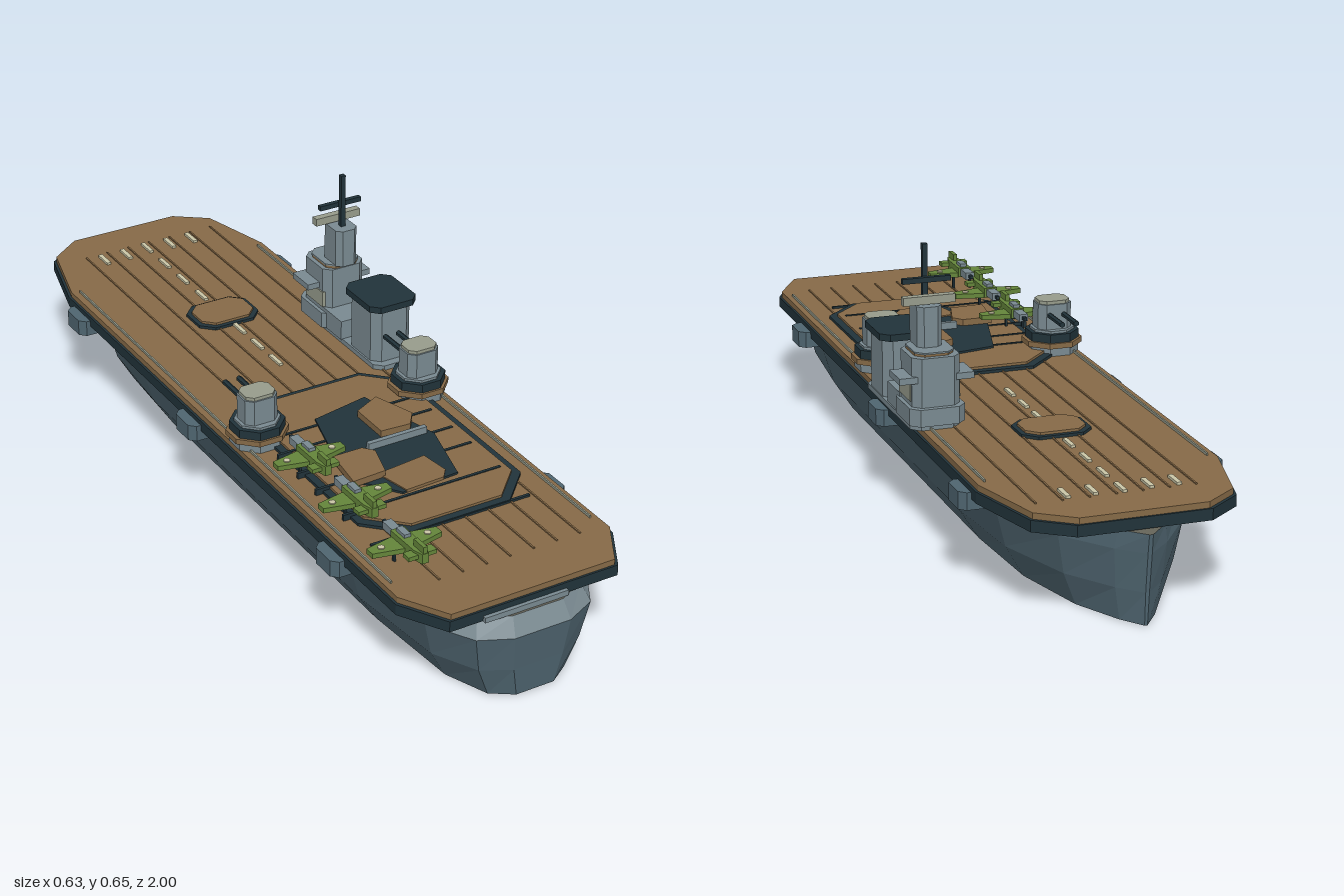
import * as THREE from 'three';

const mat = (name, color, side = THREE.FrontSide) => {
  const m = new THREE.MeshStandardMaterial({ color, flatShading: true, side });
  m.name = name;
  return m;
};
const hullGrey = mat('hull grey', 0x4f6570, THREE.DoubleSide);
const keelBrown = mat('keel brown', 0x66655a, THREE.DoubleSide);
const steel = mat('light steel', 0x7a8a91, THREE.DoubleSide);
const dark = mat('dark steel', 0x21333a);
const wood = mat('deck wood', 0x866a47);
const pale = mat('pale marking', 0xcbc7a8);
const stone = mat('warm grey', 0x979c8c);
const green = mat('aircraft green', 0x64853a);

const CX = -0.01; // centreline of the hull

function add(parent, name, geo, material, x = 0, y = 0, z = 0) {
  const m = new THREE.Mesh(geo, material);
  m.name = name;
  m.position.set(x, y, z);
  parent.add(m);
  return m;
}
// Box given by its centre in x and z, and its bottom and top in y
const box = (p, name, material, x, z, w, d, y0, y1) =>
  add(p, name, new THREE.BoxGeometry(w, y1 - y0, d), material, x, (y0 + y1) / 2, z);

// Plan outline of [x, z] points raised from y0 to y1
function slab(p, name, material, pts, y0, y1) {
  const shape = new THREE.Shape(pts.map(([x, z]) => new THREE.Vector2(x, -z)));
  const g = new THREE.ExtrudeGeometry(shape, { depth: y1 - y0, bevelEnabled: false });
  g.rotateX(-Math.PI / 2);
  return add(p, name, g, material, 0, y0, 0);
}
// Rectangle with cut corners
function octagon(x, z, w, d, c) {
  const a = w / 2, b = d / 2;
  return [[a, b - c], [a - c, b], [c - a, b], [-a, b - c], [-a, c - b], [c - a, -b], [a - c, -b], [a, c - b]]
    .map(([u, v]) => [x + u, z + v]);
}
const mirrored = half => [...half, ...half.slice().reverse().map(([x, z]) => [-x, z])]
  .map(([x, z]) => [x + CX, z]);

// Hollow hull lofted from stern to bow, open below, with a ceiling under the deck
function buildHull(g) {
  // half width, height, stern rake, bow rake
  const levels = [[0.16, 0, 0.98, 0.98], [0.208, 0.075, 0.988, 0.985], [0.235, 0.165, 1, 0.995], [0.212, 0.208, 0.978, 1]];
  const stations = [[1, 0.3], [0.965, 0.62], [0.86, 0.88], [0.6, 1], [0.1, 1], [-0.4, 1],
    [-0.65, 0.9], [-0.84, 0.6], [-0.95, 0.25], [-1, 0.02]];
  const rings = stations.map(([z, f]) => {
    const side = levels.map(([w, y, s, b]) => [w * f, y, z * (z > 0 ? s : b)]);
    return [...side, ...side.slice().reverse().map(([x, y, zz]) => [-x, y, zz])];
  });
  const sides = [], sternBand = [], ceiling = [];
  for (let i = 0; i < rings.length - 1; i++) {
    for (let j = 0; j < 7; j++) {
      const a = rings[i][j], b = rings[i][j + 1], c = rings[i + 1][j + 1], d = rings[i + 1][j];
      const band = i < 2 && (j === 2 || j === 4);
      (j === 3 ? ceiling : band ? sternBand : sides).push(a, d, c, a, c, b);
    }
  }
  const s = rings[0], e = rings[rings.length - 1];
  for (let j = 0; j < 3; j++) {
    (j === 2 ? sternBand : sides).push(s[j], s[j + 1], s[6 - j], s[j], s[6 - j], s[7 - j]);
    sides.push(e[j], e[6 - j], e[j + 1], e[j], e[7 - j], e[6 - j]);
  }
  [['hull', sides, hullGrey], ['sternBand', sternBand, steel], ['hullCeiling', ceiling, keelBrown]].forEach(([name, tri, m]) => {
    const geo = new THREE.BufferGeometry();
    geo.setAttribute('position', new THREE.Float32BufferAttribute(tri.flat(), 3));
    geo.computeVertexNormals();
    add(g, name, geo, m, CX);
  });
  box(g, 'sternLedge', steel, -0.035, 0.962, 0.21, 0.024, 0.209, 0.222);
}

function buildDeck(g) {
  const half = [[0.213, 0.965], [0.277, 0.855], [0.28, -0.715], [0.23, -0.91], [0.15, -0.97]];
  slab(g, 'deckEdge', dark, mirrored(half), 0.21, 0.236);
  slab(g, 'flightDeck', wood, mirrored(half.map(([x, z]) => [x - 0.006, z * 0.995])), 0.236, 0.25);
  // Plank seams and edge rails
  for (let i = -3; i <= 3; i++) box(g, 'plankRib', wood, CX + i * 0.06 + 0.02, -0.01, 0.004, 1.7, 0.25, 0.253);
  for (const s of [-1, 1]) box(g, 'edgeRail', stone, CX + s * 0.255, 0.05, 0.004, 1.5, 0.25, 0.256);
  // Runway dashes
  for (const z of [-0.83, -0.73, -0.63, -0.53, -0.33, -0.24, -0.15]) {
    box(g, 'centreDash', pale, CX, z, 0.01, 0.052, 0.25, 0.256);
  }
  for (const x of [-0.125, -0.063, 0.063, 0.125]) box(g, 'bowDash', pale, CX + x, -0.825, 0.011, 0.052, 0.25, 0.256);
  // Lifts: dark frame with a raised wooden panel
  slab(g, 'forwardLiftFrame', dark, octagon(CX, -0.42, 0.165, 0.128, 0.03), 0.25, 0.257);
  slab(g, 'forwardLift', wood, octagon(CX, -0.42, 0.143, 0.106, 0.026), 0.25, 0.263);
  slab(g, 'aftPlatformFrame', dark, octagon(CX + 0.01, 0.335, 0.425, 0.65, 0.085), 0.25, 0.257);
  slab(g, 'aftPlatform', wood, octagon(CX + 0.01, 0.335, 0.388, 0.614, 0.077), 0.25, 0.263);
  // Arrestor wires
  for (const z of [0.18, 0.25, 0.34, 0.42, 0.54]) box(g, 'arrestorWire', dark, -0.025, z, 0.41, 0.007, 0.25, 0.265);
  box(g, 'aftWire', dark, -0.025, 0.658, 0.41, 0.007, 0.25, 0.255);
  // Side sponsons
  for (const s of [-1, 1]) for (const z of [-0.64, -0.055, 0.6]) {
    const pts = [[0.24, z - 0.045], [0.29, z - 0.045], [0.305, z - 0.03], [0.305, z + 0.03], [0.29, z + 0.045], [0.24, z + 0.045]];
    slab(g, 'sponson', hullGrey, pts.map(([x, zz]) => [CX + s * x, zz]), 0.185, 0.225);
  }
}

// Broken deck area on the aft platform
function buildWreck(g) {
  slab(g, 'brokenDeckHole', dark, [[-0.08, 0.16], [0.07, 0.13], [0.125, 0.35], [0.08, 0.52],
    [-0.07, 0.53], [-0.15, 0.42], [-0.11, 0.27]], 0.262, 0.268);
  box(g, 'brokenBeam', steel, 0.033, 0.336, 0.155, 0.012, 0.266, 0.285);
  slab(g, 'loosePlate', wood, [[0.01, 0.2], [0.08, 0.165], [0.115, 0.27], [0.085, 0.31], [0.01, 0.305]], 0.268, 0.284);
  slab(g, 'loosePlate', wood, [[-0.14, 0.345], [-0.065, 0.345], [-0.045, 0.37], [-0.07, 0.455], [-0.155, 0.46]], 0.268, 0.284);
  slab(g, 'loosePlate', wood, [[-0.08, 0.44], [0.05, 0.425], [0.06, 0.5], [0.04, 0.525], [-0.06, 0.53]], 0.264, 0.271);
}

function buildTurret(g, x, z) {
  const t = new THREE.Group();
  t.name = 'gunTurret';
  t.position.set(x, 0, z);
  g.add(t);
  slab(t, 'turretBase', steel, octagon(0, 0, 0.12, 0.12, 0.035), 0.25, 0.27);
  slab(t, 'turretDeck', wood, octagon(0, 0, 0.138, 0.13, 0.04), 0.27, 0.283);
  slab(t, 'turretRing', dark, octagon(0, 0, 0.12, 0.12, 0.035), 0.283, 0.304);
  slab(t, 'turretCollar', steel, octagon(0, 0, 0.1, 0.1, 0.03), 0.304, 0.31);
  slab(t, 'turretHead', steel, octagon(0, 0, 0.084, 0.07, 0.016), 0.31, 0.372);
  slab(t, 'turretRoof', stone, octagon(0, 0, 0.076, 0.062, 0.014), 0.372, 0.38);
  for (const s of [-1, 1]) {
    const b = add(t, 'gunBarrel', new THREE.CylinderGeometry(0.007, 0.007, 0.09, 6), dark, s * 0.018, 0.346, -0.075);
    b.rotation.x = Math.PI / 2;
  }
}

function buildIsland(g) {
  const x = 0.225;
  slab(g, 'islandBase', steel, octagon(0.23, -0.16, 0.115, 0.36, 0.02), 0.25, 0.262);
  slab(g, 'funnel', steel, octagon(0.231, -0.065, 0.108, 0.128, 0.02), 0.26, 0.4);
  slab(g, 'funnelCap', dark, octagon(0.231, -0.065, 0.128, 0.15, 0.02), 0.4, 0.416);
  slab(g, 'bridgeHouse', steel, octagon(x, -0.275, 0.13, 0.14, 0.02), 0.26, 0.3);
  box(g, 'chartHouse', steel, 0.227, -0.19, 0.115, 0.09, 0.26, 0.31);
  slab(g, 'bridgeBlock', steel, octagon(x, -0.275, 0.112, 0.115, 0.018), 0.3, 0.414);
  box(g, 'bridgeWindows', stone, x, -0.27, 0.118, 0.08, 0.312, 0.352);
  box(g, 'bridgeWing', steel, x, -0.288, 0.175, 0.075, 0.356, 0.371);
  slab(g, 'roofTrim', wood, octagon(x, -0.27, 0.09, 0.1, 0.018), 0.414, 0.42);
  slab(g, 'bridgeRoof', steel, octagon(x, -0.272, 0.092, 0.104, 0.018), 0.42, 0.424);
  slab(g, 'tower', steel, octagon(x, -0.245, 0.058, 0.078, 0.013), 0.422, 0.517);
  box(g, 'mast', dark, x, -0.238, 0.012, 0.012, 0.517, 0.652);
  box(g, 'mastArm', dark, x, -0.25, 0.113, 0.012, 0.566, 0.578);
  box(g, 'radarBar', stone, x, -0.265, 0.122, 0.018, 0.521, 0.54);
}

function buildPlane(g, x, z) {
  const p = new THREE.Group();
  p.name = 'aircraft';
  p.position.set(x, 0, z);
  g.add(p);
  slab(p, 'fuselage', green, [[0.017, -0.03], [0.015, 0.06], [0.008, 0.085], [-0.008, 0.085], [-0.015, 0.06], [-0.017, -0.03]], 0.288, 0.312);
  box(p, 'nose', steel, 0, -0.05, 0.022, 0.045, 0.291, 0.309);
  box(p, 'propeller', dark, 0, -0.078, 0.008, 0.014, 0.296, 0.304);
  box(p, 'canopy', steel, 0, -0.005, 0.016, 0.035, 0.312, 0.32);
  slab(p, 'wing', green, [[0.02, -0.025], [0.087, -0.012], [0.087, 0.012], [0.02, 0.027],
    [-0.02, 0.027], [-0.087, 0.012], [-0.087, -0.012], [-0.02, -0.025]], 0.286, 0.298);
  box(p, 'tailplane', green, 0, 0.062, 0.07, 0.024, 0.296, 0.306);
  box(p, 'tailFin', green, 0, 0.064, 0.01, 0.04, 0.3, 0.328);
  for (const s of [-1, 1]) {
    add(p, 'wingSpot', new THREE.CylinderGeometry(0.008, 0.008, 0.003, 8), pale, s * 0.058, 0.299, 0);
    box(p, 'landingLeg', dark, s * 0.022, -0.005, 0.005, 0.008, 0.25, 0.29);
  }
}

export function createModel() {
  const g = new THREE.Group();
  g.name = 'aircraftCarrier';
  buildHull(g);
  buildDeck(g);
  buildWreck(g);
  buildTurret(g, -0.224, 0.145);
  buildTurret(g, 0.208, 0.145);
  buildIsland(g);
  for (const z of [0.33, 0.53, 0.735]) buildPlane(g, -0.193, z);
  return g;
}
